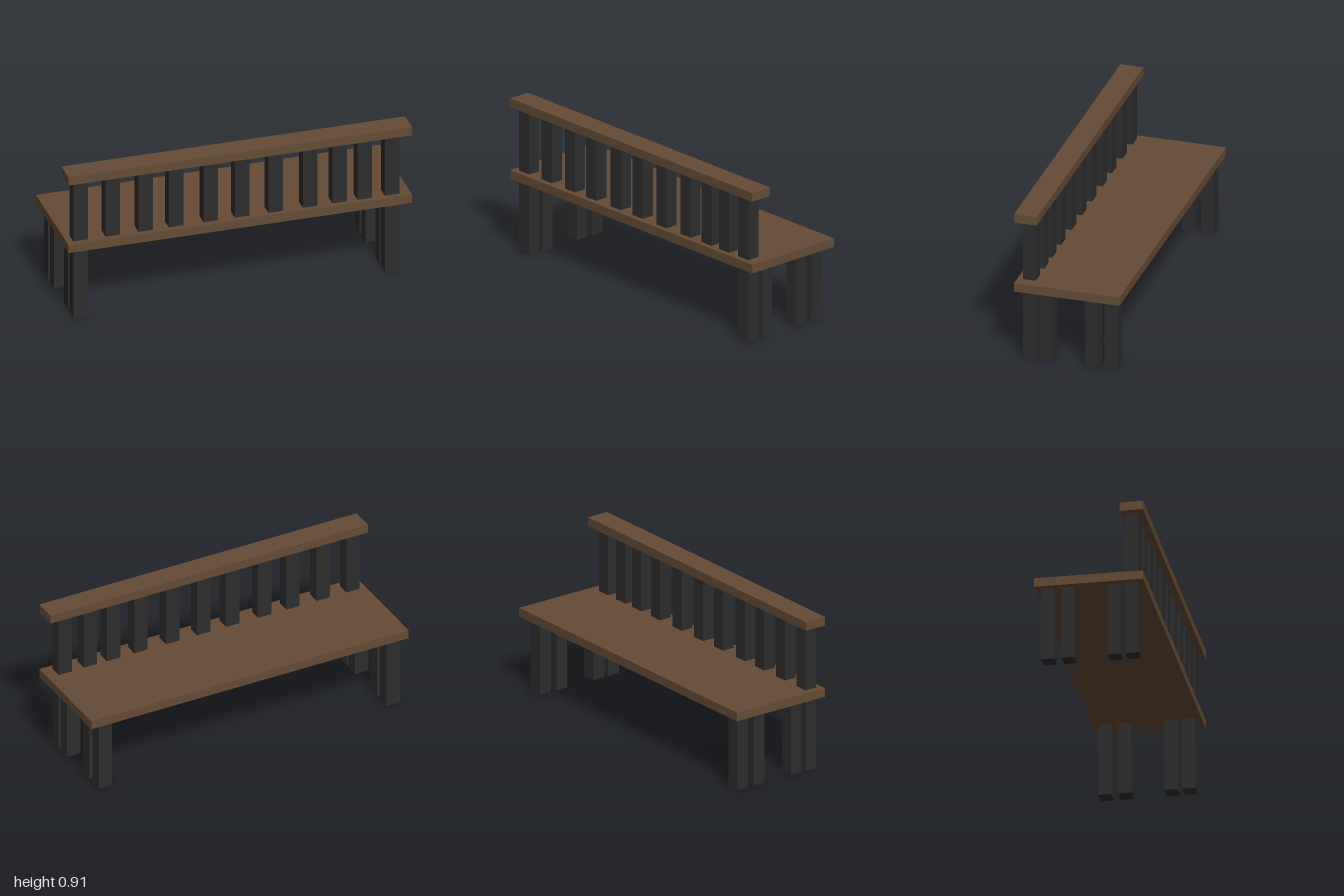
import * as THREE from 'three';

export function createModel() {
  const model = new THREE.Group();
  model.name = 'bench';
  const wood = new THREE.MeshStandardMaterial({ color: 0x654b35 });
  wood.name = 'brown wood';
  const iron = new THREE.MeshStandardMaterial({ color: 0x2d2d2d });
  iron.name = 'dark iron';

  // Box given by its x centre, y range and z centre
  function box(name, material, width, depth, x, y0, y1, z) {
    const mesh = new THREE.Mesh(new THREE.BoxGeometry(width, y1 - y0, depth), material);
    mesh.name = name;
    mesh.position.set(x, (y0 + y1) / 2, z);
    model.add(mesh);
  }

  const POST_W = 0.084, POST_D = 0.075, BACK_Z = 0.238;
  const SEAT_Y0 = 0.43, SEAT_Y1 = 0.482, RAIL_Y0 = 0.856, RAIL_Y1 = 0.908;

  // Planks
  box('seat', wood, 2, 0.614, 0, SEAT_Y0, SEAT_Y1, 0);
  box('topRail', wood, 2, 0.133, 0, RAIL_Y0, RAIL_Y1, 0.2405);

  // Paired legs at both ends
  for (const x of [-0.92, 0.893]) {
    for (const z of [BACK_Z, 0.137, -0.123, -0.237]) {
      box('leg', iron, POST_W, POST_D, x, 0, SEAT_Y0, z);
    }
  }

  // Unevenly spaced backrest slats
  const slats = [-0.92, -0.732, -0.541, -0.364, -0.162, 0.02, 0.216, 0.416, 0.588, 0.734, 0.893];
  for (const x of slats) {
    box('backSlat', iron, POST_W, POST_D, x, SEAT_Y1, RAIL_Y0, BACK_Z);
  }

  return model;
}
